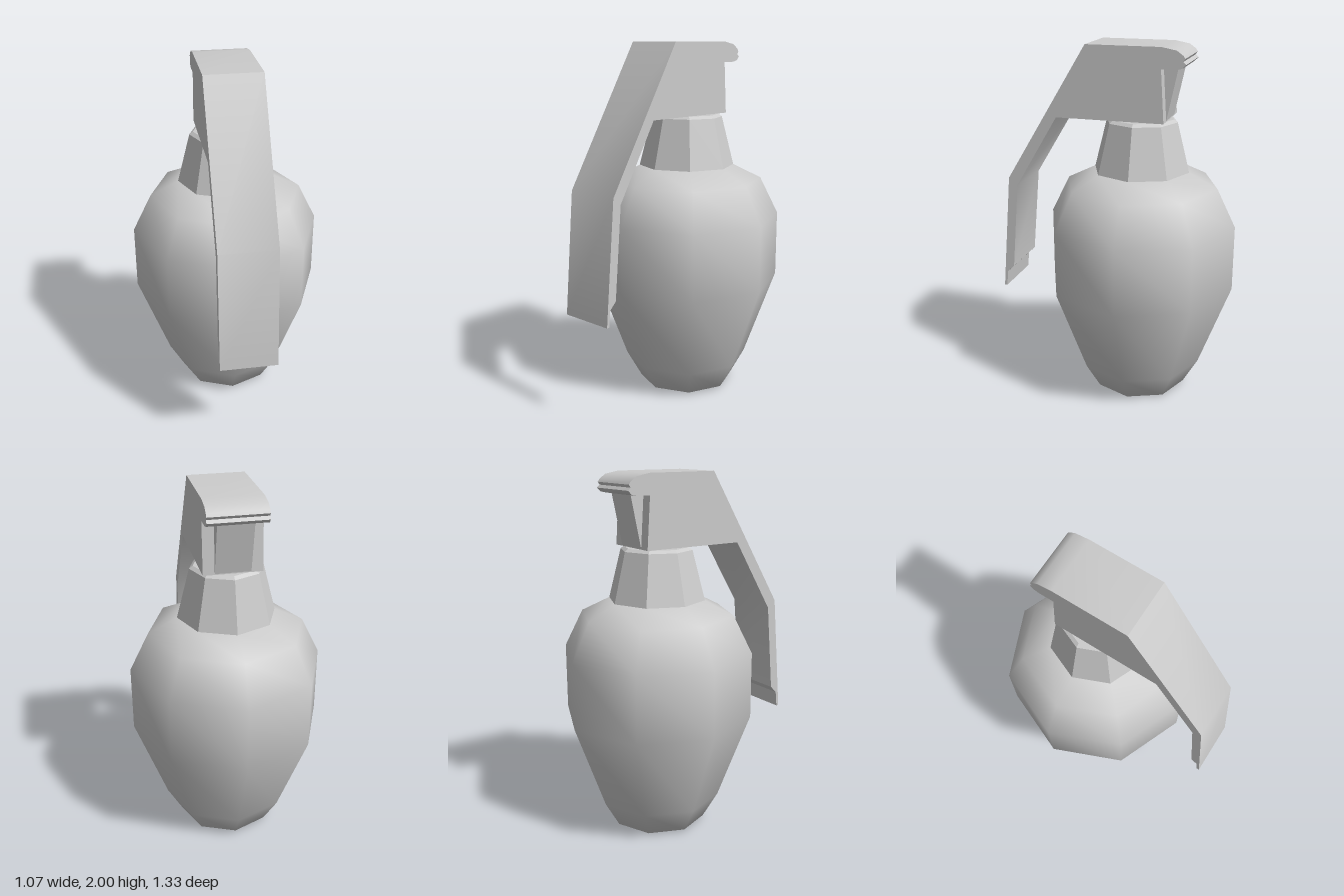
import * as THREE from 'three';
import { toCreasedNormals } from 'three/addons/utils/BufferGeometryUtils.js';

const AXIS_Z = -0.13; // the body axis sits behind the lever

function addMesh(group, name, geometry, flatShading = false) {
  const mesh = new THREE.Mesh(geometry, new THREE.MeshStandardMaterial({ color: 0xcccccc, flatShading }));
  mesh.name = name;
  group.add(mesh);
  return mesh;
}

// Eight-sided turned part from [radius, y] points
function turned(points) {
  return new THREE.LatheGeometry(points.map(([r, y]) => new THREE.Vector2(r, y)), 8);
}

// Side outline of [z, y] points, extruded across x and centred
function sideProfile(points, width) {
  const shape = new THREE.Shape(points.map(([z, y]) => new THREE.Vector2(z, y)));
  const geometry = new THREE.ExtrudeGeometry(shape, { depth: width, bevelEnabled: false });
  return geometry.translate(0, 0, -width / 2).rotateY(-Math.PI / 2);
}

export function createModel() {
  const model = new THREE.Group();
  model.name = 'grenade';

  // Rounded body with a closed flat base and shoulder
  const body = turned([
    [0, 0], [0.23, 0], [0.27, 0.012], [0.355, 0.16], [0.535, 0.65],
    [0.535, 1.02], [0.43, 1.23], [0.27, 1.31], [0, 1.31],
  ]);
  addMesh(model, 'body', toCreasedNormals(body, 0.95)).position.z = AXIS_Z;

  // Faceted neck with a small chamfer on top
  const neck = turned([[0.27, 1.31], [0.2, 1.585], [0.18, 1.6], [0, 1.6]]);
  addMesh(model, 'neck', neck, true).position.z = AXIS_Z;

  // Lever: solid head with a rolled rear lip, and a bent arm down the front
  const lever = sideProfile([
    [0.14, 2], [-0.27, 2], [-0.35, 1.985], [-0.385, 1.96], [-0.395, 1.945], [-0.385, 1.93],
    [-0.4, 1.915], [-0.38, 1.895], [-0.35, 1.888], [-0.27, 1.888], [-0.288, 1.605],
    [0.31, 1.605], [0.555, 1.2], [0.6, 0.7], [0.64, 0.66], [0.65, 0.57],
    [0.665, 0.57], [0.605, 1.24],
  ], 0.314);
  addMesh(model, 'lever', toCreasedNormals(lever, 0.6));

  // Tapered hinge block below the lip
  const hinge = sideProfile([[-0.2, 1.89], [-0.348, 1.89], [-0.288, 1.61], [-0.2, 1.61]], 0.19);
  addMesh(model, 'hingeBlock', hinge, true);

  return model;
}
